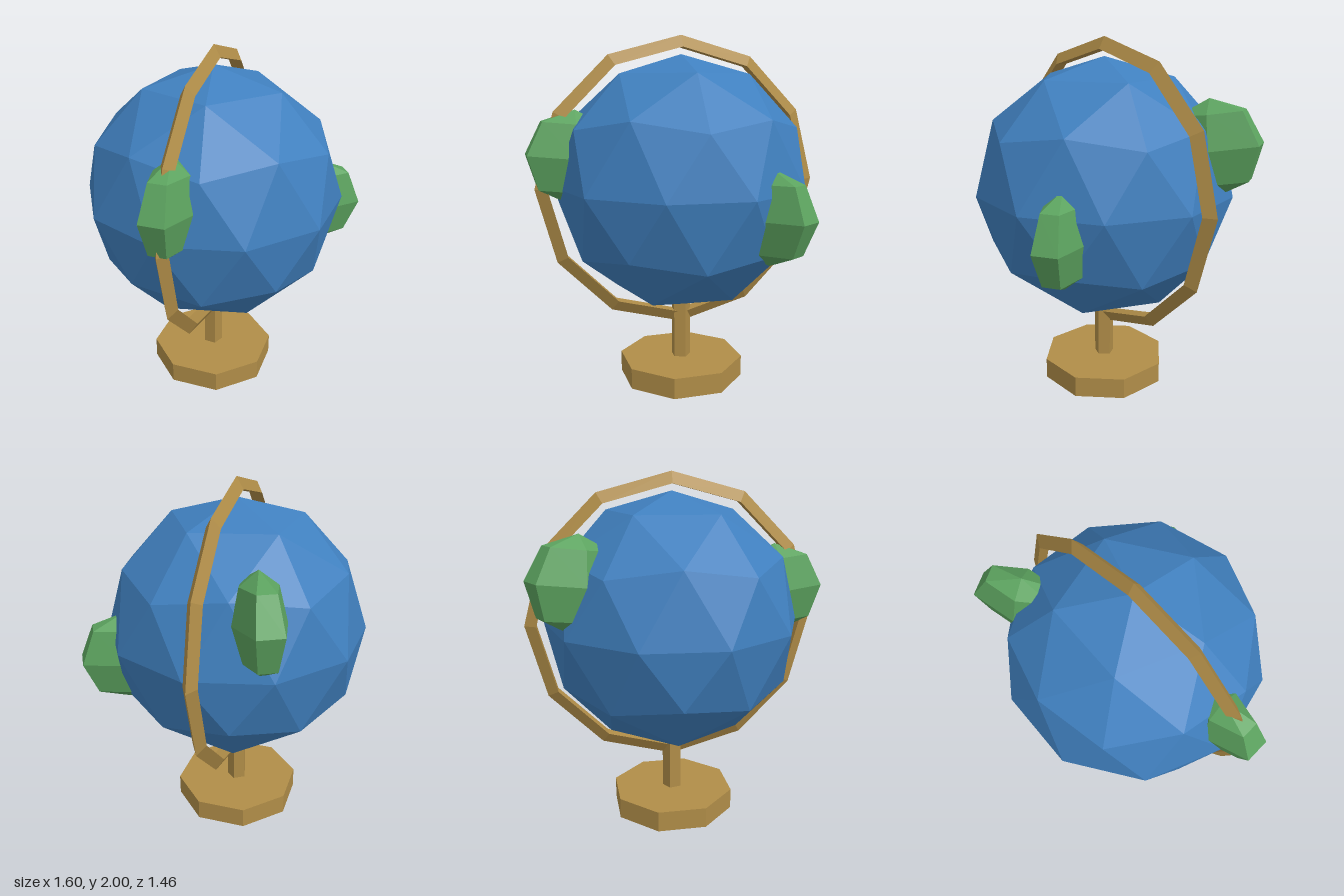
import * as THREE from 'three';

const material = (color) => new THREE.MeshStandardMaterial({ color, flatShading: true });

export function createModel() {
  const model = new THREE.Group();
  const blue = material(0x4080bf);
  const green = material(0x5ca35f);
  const brass = material(0xb08d48);
  const cx = 0.027, cy = 1.165, radius = 0.73;

  const add = (name, geometry, mat, x, y, z = 0) => {
    const mesh = new THREE.Mesh(geometry, mat);
    mesh.name = name;
    mesh.position.set(x, y, z);
    model.add(mesh);
    return mesh;
  };

  // Octagonal foot and five-sided post
  add('base', new THREE.CylinderGeometry(0.365, 0.365, 0.12, 8), brass, cx, 0.06);
  add('post', new THREE.CylinderGeometry(0.058, 0.058, 0.34, 5).rotateY(Math.PI), brass, cx, 0.29);

  // Faceted ball, turned so one corner is the pole
  const ball = new THREE.IcosahedronGeometry(radius, 1);
  ball.rotateZ(-Math.atan(2 / (1 + Math.sqrt(5))));
  add('globe', ball, blue, cx, cy);

  // Twelve-sided meridian ring with a triangular section
  const ring = add('meridianRing', new THREE.TorusGeometry(0.791, 0.044, 3, 12), brass, cx, cy);
  ring.rotation.y = 0.4;

  // Land masses: flattened lumps half sunk into the ball
  const lump = new THREE.SphereGeometry(1, 6, 4);
  const lands = [
    // direction x, direction z, height, upward tilt
    ['landFront', 0.804, 0.595, 1.045, 0],
    ['landRight', -0.922, 0.387, 1.335, 0.08],
    ['landBack', 0.65, -0.76, 1.44, 0.14],
  ];
  for (const [name, dx, dz, y, tilt] of lands) {
    const land = add(name, lump, green, cx + dx * 0.625, y, dz * 0.625);
    land.scale.set(0.137, 0.26, 0.287);
    land.rotation.set(-tilt, Math.atan2(dx, dz), 0, 'YXZ');
  }
  return model;
}
